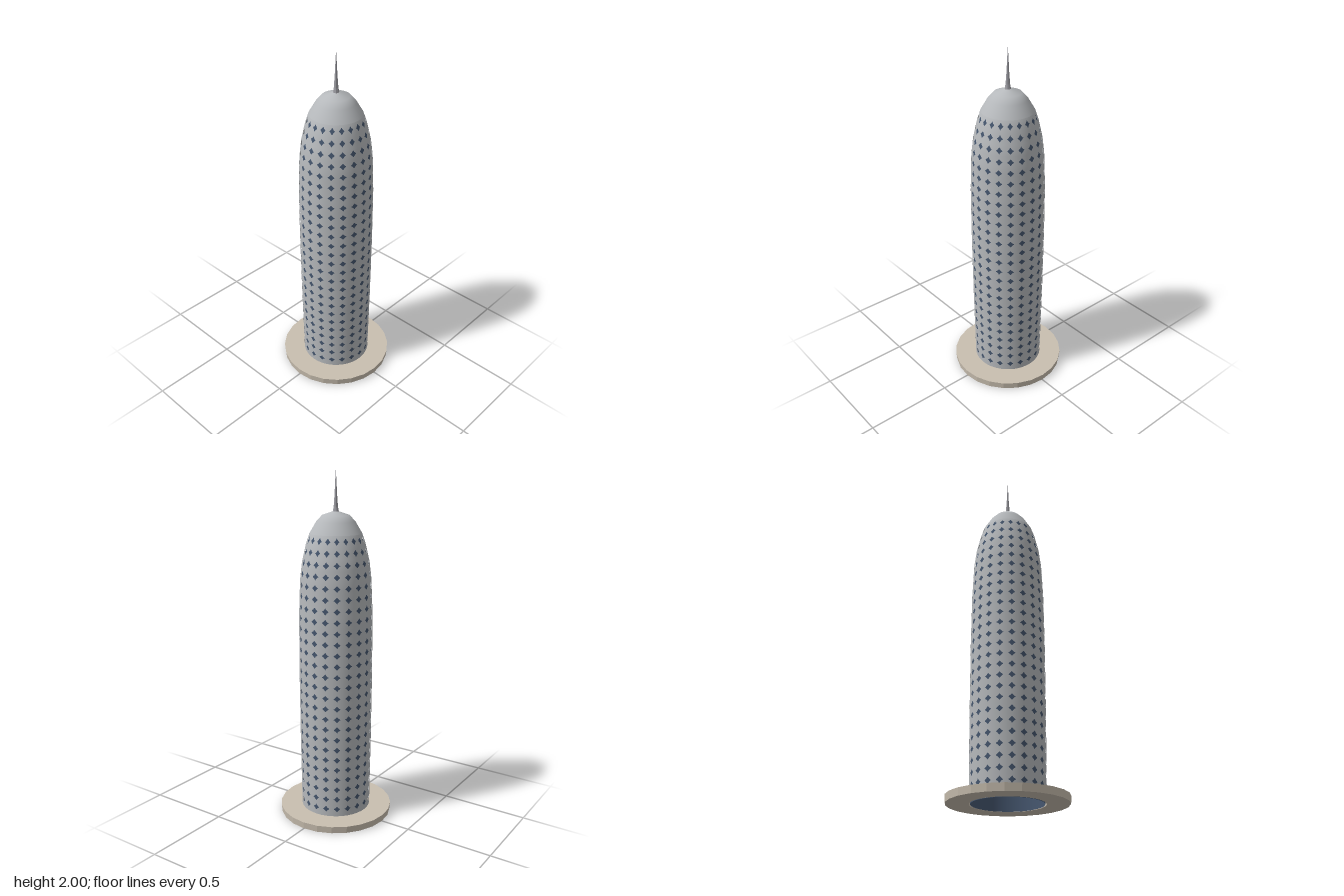
import * as THREE from 'three';

const COLS = 20, ROWS = 26, Y0 = 0.054, Y1 = 1.656;

// Tower radius by height
const PROFILE = [[0, 0.202], [0.5, 0.208], [0.9, 0.21], [1.2, 0.208], [1.4, 0.2], [1.5, 0.188],
  [1.6, 0.165], [1.656, 0.146], [1.72, 0.108], [1.755, 0.076], [1.78, 0]];

function radius(y) {
  let i = 0;
  while (i < PROFILE.length - 2 && y > PROFILE[i + 1][0]) i++;
  const [ya, ra] = PROFILE[i], [yb, rb] = PROFILE[i + 1];
  return ra + (rb - ra) * (y - ya) / (yb - ya);
}

const lathe = (points, sides) =>
  new THREE.LatheGeometry(points.map(([r, y]) => new THREE.Vector2(r, y)), sides);

function faceted(geometry) {
  const g = geometry.toNonIndexed();
  g.computeVertexNormals();
  return g;
}

// Curved screen: every cell is a ring of quads around a star-shaped opening
function screenGeometry() {
  const pos = [], nor = [];
  const dA = Math.PI * 2 / COLS, dY = (Y1 - Y0) / ROWS;
  const outer = [[1, 0], [1, 1], [0, 1], [-1, 1], [-1, 0], [-1, -1], [0, -1], [1, -1]];
  const push = (a, y) => {
    const r = radius(y), e = 0.03;
    const slope = (radius(y + e) - radius(y - e)) / (2 * e);
    const n = new THREE.Vector3(Math.sin(a), -slope, Math.cos(a)).normalize();
    pos.push(r * Math.sin(a), y, r * Math.cos(a));
    nor.push(n.x, n.y, n.z);
  };
  for (let row = 0; row < ROWS; row++) {
    for (let col = 0; col < COLS; col++) {
      const a = col * dA, y = Y0 + (row + 0.5) * dY;
      const out = ([u, v]) => [a + u * dA / 2, y + v * dY / 2];
      const hole = ([u, v]) => {
        const s = u && v ? 0.27 : 0.6;
        return [a + u * s * dA / 2, y + v * s * dY / 2];
      };
      for (let k = 0; k < 8; k++) {
        const p = outer[k], q = outer[(k + 1) % 8];
        for (const c of [hole(p), out(p), out(q), hole(p), out(q), hole(q)]) push(...c);
      }
    }
  }
  const g = new THREE.BufferGeometry();
  g.setAttribute('position', new THREE.Float32BufferAttribute(pos, 3));
  g.setAttribute('normal', new THREE.Float32BufferAttribute(nor, 3));
  return g;
}

export function createModel() {
  const model = new THREE.Group();
  const material = (name, color, side = THREE.FrontSide) => {
    const m = new THREE.MeshStandardMaterial({ color, side });
    m.name = name;
    return m;
  };
  const screenGrey = material('screenGrey', 0xb6b9bc, THREE.DoubleSide);
  const glassBlue = material('glassBlue', 0x45566e, THREE.DoubleSide);
  const stone = material('stone', 0xc9bfb0);
  const spireGrey = material('spireGrey', 0x9c9ca2);

  const add = (name, geometry, mat) => {
    const mesh = new THREE.Mesh(geometry, mat);
    mesh.name = name;
    model.add(mesh);
  };

  // Ring-shaped plinth
  add('plinth', faceted(lathe([[0.202, 0], [0.326, 0], [0.33, 0.04], [0.202, 0.04], [0.202, 0]], 24)), stone);

  // Glass core just inside the screen, open underneath
  const core = PROFILE.filter(([y]) => y < 1.7).map(([y, r]) => [r - 0.008, y]);
  add('glassCore', lathe(core, 40), glassBlue);

  // Outer skin: solid foot, pierced screen and plain dome
  add('screenFoot', lathe([[radius(0), 0], [radius(Y0), Y0]], 40), screenGrey);
  add('piercedScreen', screenGeometry(), screenGrey);
  add('dome', lathe(PROFILE.filter(([y]) => y >= Y1).map(([y, r]) => [r, y]), 40), screenGrey);

  // Tapering spire
  add('spire', faceted(lathe([[0.018, 1.77], [0.012, 1.8], [0.007, 1.87], [0.003, 1.95], [0, 2]], 8)), spireGrey);

  return model;
}
